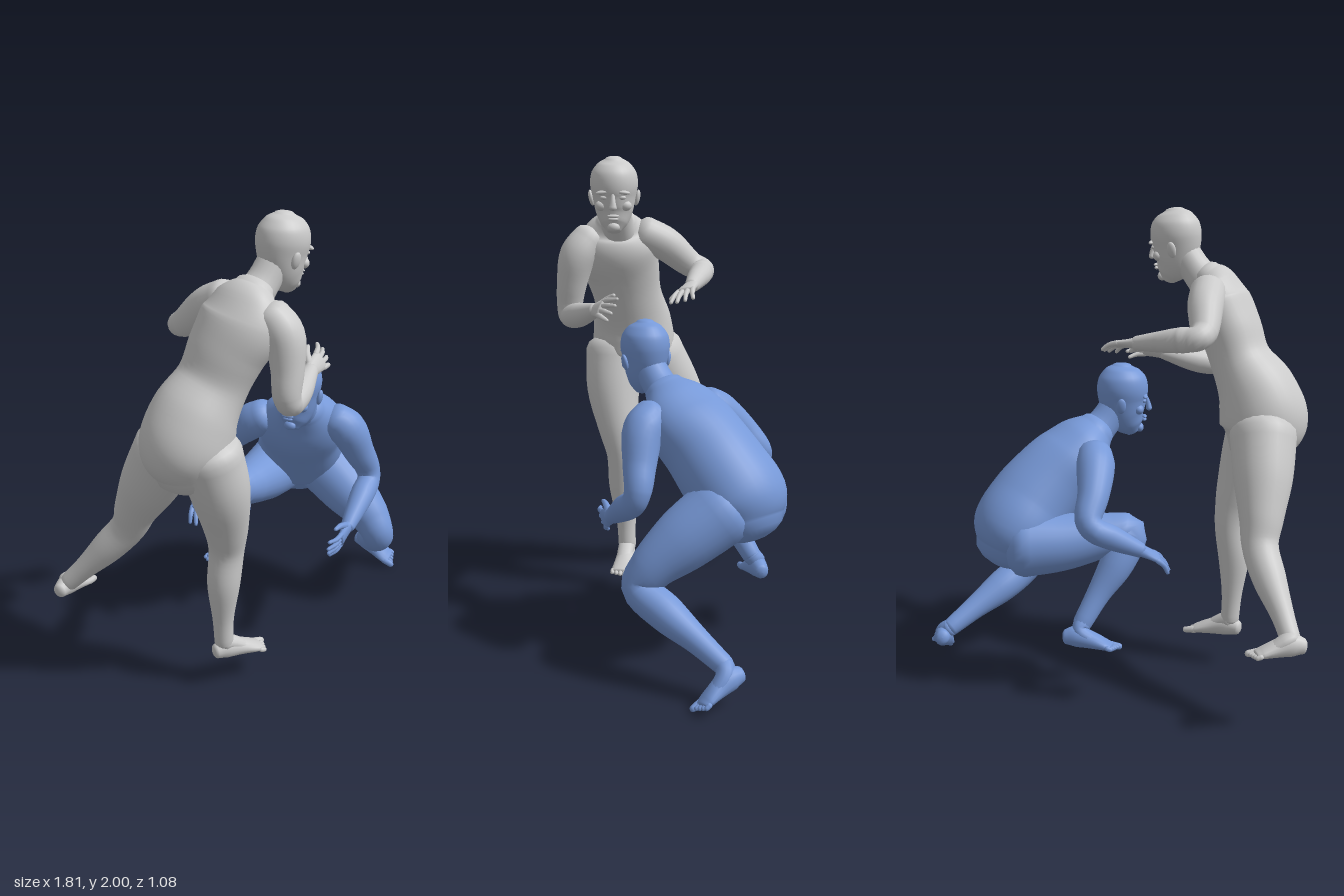
import * as THREE from 'three';

const V = (a) => new THREE.Vector3(...a);

// Closed smooth skin over elliptical sections [x, y, z, halfWidth, halfDepth]
function loft(name, mat, rows, side = [1, 0, 0], cap = 0.6, n = 20, steps = 5) {
  const path = new THREE.CatmullRomCurve3(rows.map((r) => V(r)));
  const size = new THREE.CatmullRomCurve3(rows.map((r) => new THREE.Vector3(r[3], r[4] ?? r[3], 0)), false, 'catmullrom', 0.5);
  const count = (rows.length - 1) * steps, rings = [];
  for (let i = 0; i <= count; i++) {
    const t = i / count, c = path.getPoint(t), r = size.getPoint(t), T = path.getTangent(t);
    rings.push({ c, a: r.x, b: r.y, T });
  }
  // Rounded ends
  const ends = (ring, sign) => [25, 50, 72, 89].map((deg) => {
    const q = deg * Math.PI / 180, k = Math.cos(q);
    const d = sign * Math.sin(q) * cap * Math.min(ring.a, ring.b);
    return { c: ring.c.clone().addScaledVector(ring.T, d), a: ring.a * k, b: ring.b * k, T: ring.T };
  });
  const all = [...ends(rings[0], -1).reverse(), ...rings, ...ends(rings[count], 1)];
  const pos = [], idx = [];
  all.forEach(({ c, a, b, T }, i) => {
    const S = V(side).addScaledVector(T, -V(side).dot(T)).normalize();
    const F = T.clone().cross(S);
    for (let j = 0; j < n; j++) {
      const q = (j / n) * Math.PI * 2;
      const p = c.clone().addScaledVector(S, a * Math.cos(q)).addScaledVector(F, b * Math.sin(q));
      pos.push(p.x, p.y, p.z);
      if (i === all.length - 1) continue;
      const k = (j + 1) % n, u = i * n, w = u + n;
      idx.push(u + j, u + k, w + j, u + k, w + k, w + j);
    }
  });
  const g = new THREE.BufferGeometry();
  g.setAttribute('position', new THREE.Float32BufferAttribute(pos, 3));
  g.setIndex(idx);
  g.computeVertexNormals();
  const m = new THREE.Mesh(g, mat);
  m.name = name;
  return m;
}

function blob(name, mat, p, s, rz = 0) {
  const m = new THREE.Mesh(new THREE.SphereGeometry(1, 16, 12), mat);
  m.name = name;
  m.position.set(...p);
  m.scale.set(...s);
  m.rotation.z = rz;
  return m;
}

// Bald head, built facing +z and then turned towards its look direction
function head(mat, centre, look, pitch) {
  const g = new THREE.Group();
  g.name = 'head';
  g.add(loft('skull', mat, [
    [0, -0.142, 0.055, 0.03, 0.03], [0, -0.115, 0.04, 0.056, 0.06], [0, -0.07, 0.018, 0.077, 0.085],
    [0, -0.01, 0.004, 0.09, 0.102], [0, 0.045, 0, 0.1, 0.11], [0, 0.095, -0.004, 0.092, 0.101],
    [0, 0.13, -0.006, 0.065, 0.073], [0, 0.147, -0.006, 0.034, 0.04]], [1, 0, 0], 0.3, 28));
  g.add(loft('nose', mat, [[0, 0.018, 0.1, 0.008], [0, -0.012, 0.112, 0.011], [0, -0.037, 0.119, 0.017, 0.013]], [1, 0, 0], 0.8, 12));
  g.add(blob('upperLip', mat, [0, -0.073, 0.101], [0.026, 0.007, 0.01]));
  g.add(blob('lowerLip', mat, [0, -0.086, 0.1], [0.022, 0.008, 0.01]));
  g.add(blob('chin', mat, [0, -0.123, 0.082], [0.026, 0.02, 0.018]));
  for (const s of [-1, 1]) {
    g.add(blob('ear', mat, [s * 0.096, -0.015, -0.008], [0.012, 0.034, 0.02], -s * 0.2));
    g.add(blob('brow', mat, [s * 0.04, 0.024, 0.094], [0.032, 0.009, 0.013], -s * 0.12));
    g.add(blob('eye', mat, [s * 0.037, 0.002, 0.091], [0.017, 0.009, 0.011]));
    g.add(blob('cheek', mat, [s * 0.05, -0.035, 0.07], [0.026, 0.022, 0.022]));
  }
  g.position.set(...centre);
  g.rotation.set(pitch, Math.atan2(look[0], look[1]), 0, 'YXZ');
  return g;
}

// Palm, four spread fingers and a thumb; curl is the palm side (+1 left, -1 right)
function hand(mat, wrist, tip, thumb, curl) {
  const g = new THREE.Group();
  g.name = 'hand';
  const O = V(wrist), D = V(tip).sub(O).normalize();
  const W = V(thumb).addScaledVector(D, -V(thumb).dot(D)).normalize();
  const N = D.clone().cross(W).multiplyScalar(curl);
  const at = (d, w, k) => O.clone().addScaledVector(D, d).addScaledVector(W, w).addScaledVector(N, k).toArray();
  const side = W.toArray();
  g.add(loft('palm', mat, [[...at(-0.01, 0, 0), 0.03, 0.025], [...at(0.03, 0.002, 0), 0.036, 0.02],
    [...at(0.085, 0, 0), 0.042, 0.015]], side, 0.6, 14));
  [0.07, 0.083, 0.077, 0.06].forEach((len, i) => {
    const w = 0.031 - i * 0.021, spread = 0.25 - i * 0.17;
    g.add(loft('finger', mat, [[...at(0.08, w, 0), 0.012], [...at(0.085 + len * 0.5, w + spread * len * 0.5, 0.007), 0.0105],
      [...at(0.085 + len * 0.95, w + spread * len, 0.025), 0.008]], side, 1, 8, 4));
  });
  g.add(loft('thumb', mat, [[...at(0.02, 0.025, 0.004), 0.017], [...at(0.055, 0.055, 0.015), 0.013],
    [...at(0.09, 0.07, 0.022), 0.009]], N.toArray(), 1, 8, 4));
  return g;
}

// Wedge foot from heel to toes; big is the side of the big toe
function foot(mat, heel, toe, ankle, big) {
  const g = new THREE.Group();
  g.name = 'foot';
  const H = V(heel), D = V(toe).sub(H), L = D.length();
  D.normalize();
  const U = V(ankle).sub(H);
  U.y += 0.1;
  U.addScaledVector(D, -U.dot(D)).normalize();
  const S = U.clone().cross(D).multiplyScalar(big);
  const at = (d, s, u) => H.clone().addScaledVector(D, d * L).addScaledVector(S, s).addScaledVector(U, u).toArray();
  const side = S.toArray();
  g.add(loft('sole', mat, [[...at(0.06, 0, 0.012), 0.03, 0.032], [...at(0.25, 0, 0.02), 0.04, 0.045],
    [...at(0.5, 0.003, 0.012), 0.044, 0.036], [...at(0.75, 0.004, 0), 0.05, 0.023],
    [...at(0.86, 0.002, -0.005), 0.045, 0.016]], side, 0.5, 16));
  g.add(loft('instep', mat, [[...V(ankle).toArray(), 0.04], [...at(0.3, 0, 0.045), 0.038, 0.032],
    [...at(0.6, 0, 0.01), 0.036, 0.024]], side, 0.6, 14));
  for (let i = 0; i < 5; i++) {
    const s = 0.036 - i * 0.019, r = i ? 0.011 : 0.016;
    g.add(loft('toe', mat, [[...at(0.82, s, -0.005), r], [...at(0.98 - i * 0.026, s, -0.008), r * 0.9]], side, 1, 8, 3));
  }
  return g;
}

function figure(name, mat, f) {
  const g = new THREE.Group();
  g.name = name;
  g.add(loft('torso', mat, f.torso, f.side, 0.6, 32, 6), loft('neck', mat, f.neck, f.side));
  g.add(head(mat, ...f.head));
  f.arms.forEach((a, i) => g.add(loft(i ? 'rightArm' : 'leftArm', mat, a), hand(mat, ...f.hands[i], i ? -1 : 1)));
  f.legs.forEach((l, i) => g.add(loft(i ? 'rightLeg' : 'leftLeg', mat, l, f.side, 0.6, 24),
    foot(mat, ...f.feet[i], l[l.length - 1].slice(0, 3), i ? 1 : -1)));
  return g;
}

export function createModel() {
  const grey = new THREE.MeshStandardMaterial({ color: 0xcccccc });
  const blue = new THREE.MeshStandardMaterial({ color: 0x7799d8 });
  const model = new THREE.Group();
  model.name = 'sparringPair';

  // Upright figure leaning in with both hands raised
  model.add(figure('standingFigure', grey, {
    side: [0.4, 0, 0.92],
    torso: [[-0.45, 1.03, 0.28, 0.15, 0.14], [-0.46, 1.13, 0.28, 0.185, 0.185], [-0.425, 1.25, 0.28, 0.178, 0.168],
      [-0.345, 1.38, 0.28, 0.152, 0.128], [-0.29, 1.5, 0.29, 0.165, 0.13], [-0.23, 1.61, 0.3, 0.18, 0.13],
      [-0.2, 1.69, 0.295, 0.14, 0.095], [-0.17, 1.73, 0.285, 0.085, 0.065]],
    neck: [[-0.2, 1.67, 0.285, 0.085], [-0.13, 1.74, 0.275, 0.068], [-0.07, 1.82, 0.265, 0.066]],
    head: [[-0.04, 1.845, 0.26], [0.98, -0.2], 0.12],
    arms: [
      [[-0.24, 1.67, 0.18, 0.075], [-0.28, 1.62, 0.09, 0.074], [-0.33, 1.53, -0.01, 0.058], [-0.33, 1.51, -0.06, 0.05],
        [-0.26, 1.5, -0.07, 0.052], [-0.16, 1.485, -0.07, 0.043], [-0.05, 1.47, -0.07, 0.03]],
      [[-0.16, 1.65, 0.4, 0.075], [-0.125, 1.58, 0.445, 0.08], [-0.125, 1.46, 0.475, 0.066], [-0.135, 1.36, 0.49, 0.056],
        [-0.12, 1.32, 0.485, 0.05], [-0.05, 1.33, 0.425, 0.053], [0.06, 1.37, 0.32, 0.031]]],
    hands: [[[-0.05, 1.47, -0.07], [0.1, 1.45, -0.05], [0, -0.25, 1]], [[0.06, 1.37, 0.32], [0.21, 1.41, 0.22], [-0.2, 0.8, -0.4]]],
    legs: [
      [[-0.5, 1.1, 0.2, 0.14], [-0.55, 0.93, 0.11, 0.122], [-0.585, 0.79, 0.035, 0.092], [-0.605, 0.69, -0.01, 0.075],
        [-0.68, 0.58, -0.07, 0.068], [-0.77, 0.47, -0.13, 0.047], [-0.83, 0.395, -0.175, 0.04]],
      [[-0.4, 1.12, 0.36, 0.13], [-0.355, 0.95, 0.355, 0.12], [-0.315, 0.76, 0.32, 0.09], [-0.305, 0.65, 0.3, 0.073],
        [-0.32, 0.5, 0.3, 0.068], [-0.32, 0.33, 0.29, 0.045], [-0.315, 0.21, 0.285, 0.04]]],
    feet: [[[-0.89, 0.36, -0.15], [-0.71, 0.345, -0.29]], [[-0.37, 0.165, 0.29], [-0.11, 0.14, 0.27]]],
  }));

  // Crouching figure with a low, wide stance
  model.add(figure('crouchingFigure', blue, {
    side: [0.85, 0, 0.53],
    torso: [[0.4, 0.6, -0.39, 0.15, 0.13], [0.38, 0.68, -0.36, 0.195, 0.175], [0.35, 0.78, -0.28, 0.192, 0.18],
      [0.305, 0.87, -0.2, 0.185, 0.172], [0.26, 0.95, -0.12, 0.19, 0.155], [0.225, 1.02, -0.06, 0.165, 0.12],
      [0.195, 1.07, -0.01, 0.1, 0.08]],
    neck: [[0.22, 1.02, -0.05, 0.085], [0.18, 1.09, 0.02, 0.07], [0.145, 1.17, 0.075, 0.067]],
    head: [[0.128, 1.193, 0.09], [-0.8, 0.6], 0.05],
    arms: [
      [[0.35, 1.0, 0.01, 0.075], [0.405, 0.95, 0.035, 0.083], [0.47, 0.83, 0.035, 0.068], [0.52, 0.74, 0.03, 0.056],
        [0.52, 0.69, 0.045, 0.051], [0.45, 0.64, 0.1, 0.053], [0.33, 0.56, 0.19, 0.031]],
      [[0.1, 1.0, -0.16, 0.075], [0.06, 0.96, -0.21, 0.08], [0.01, 0.87, -0.3, 0.066], [-0.01, 0.79, -0.365, 0.056],
        [-0.035, 0.755, -0.37, 0.051], [-0.09, 0.715, -0.32, 0.051], [-0.18, 0.655, -0.24, 0.031]]],
    hands: [[[0.33, 0.56, 0.19], [0.21, 0.5, 0.28], [0, 1, 0.2]], [[-0.18, 0.655, -0.24], [-0.25, 0.58, -0.12], [0.8, 0.4, 0.3]]],
    legs: [
      [[0.46, 0.66, -0.29, 0.14], [0.53, 0.55, -0.15, 0.125], [0.585, 0.45, -0.04, 0.092], [0.605, 0.375, 0.005, 0.073],
        [0.655, 0.295, -0.11, 0.073], [0.71, 0.22, -0.24, 0.052], [0.76, 0.15, -0.355, 0.04]],
      [[0.3, 0.64, -0.4, 0.14], [0.17, 0.645, -0.3, 0.122], [0.03, 0.67, -0.19, 0.095], [-0.055, 0.68, -0.13, 0.073],
        [-0.035, 0.56, -0.195, 0.072], [0.005, 0.44, -0.275, 0.05], [0.035, 0.33, -0.35, 0.04]]],
    feet: [[[0.75, 0.115, -0.43], [0.89, 0.03, -0.27]], [[0.095, 0.265, -0.41], [-0.12, 0.245, -0.31]]],
  }));
  return model;
}
